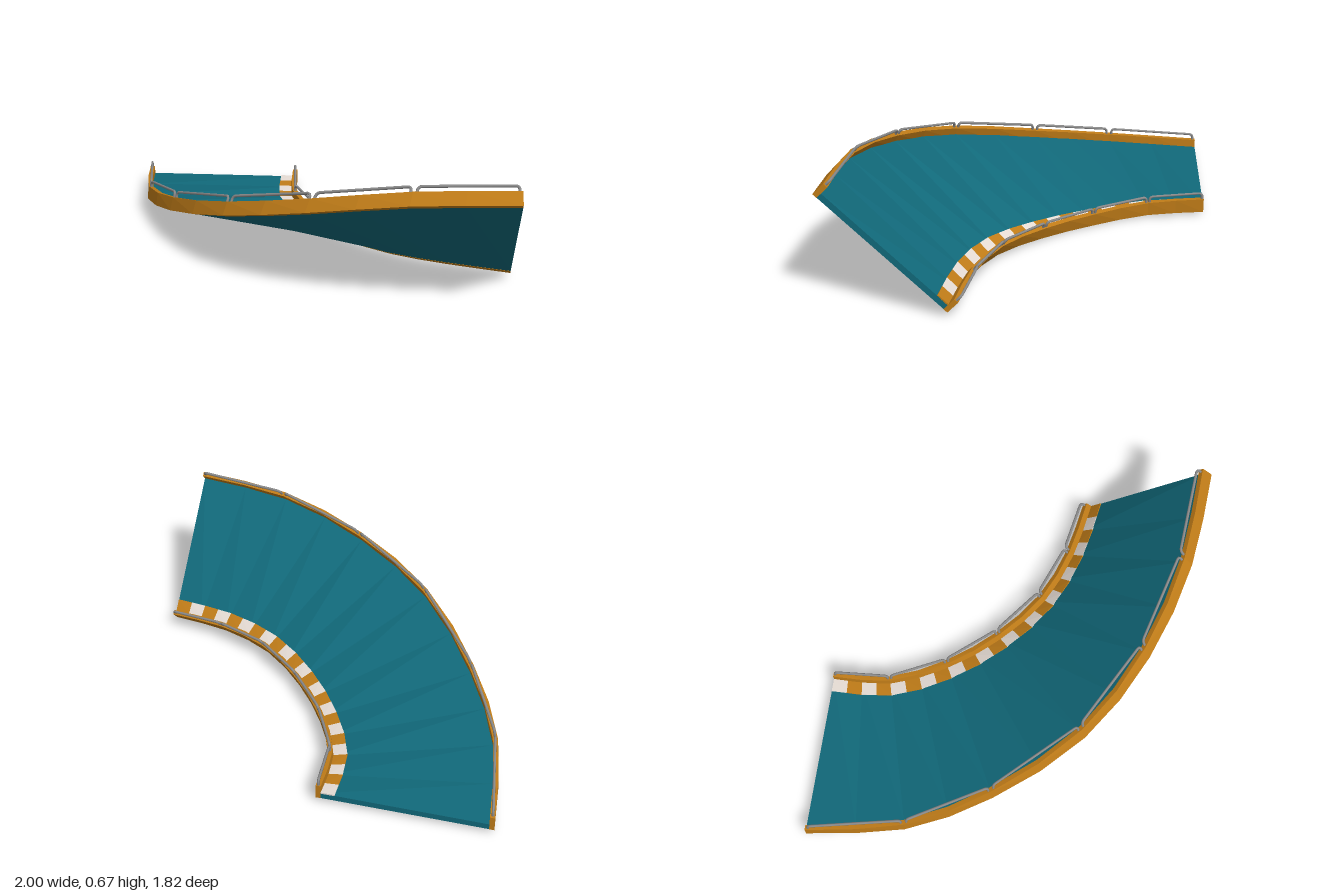
import * as THREE from 'three';

const V = (x, y, z) => new THREE.Vector3(x, y, z);
const SEGMENTS = 12;

// Bottom edges of the banked curve, from the flat end to the steep end
const innerEdge = new THREE.CatmullRomCurve3([
  V(-0.15, 0.03, -0.91), V(-0.135, 0.012, -0.62), V(-0.01, 0.004, -0.335), V(0.175, 0.014, -0.08),
  V(0.41, 0.033, 0.13), V(0.69, 0.04, 0.255), V(1, 0.03, 0.32),
]);
const outerEdge = new THREE.CatmullRomCurve3([
  V(-1, 0.03, -0.91), V(-0.925, 0.09, -0.41), V(-0.73, 0.19, 0.01), V(-0.4, 0.335, 0.43),
  V(0.02, 0.465, 0.7), V(0.5, 0.57, 0.855), V(1, 0.607, 0.905),
]);

// Point on one cross-section: u = 0 inner / 1 outer edge, off = along the bank, up = off the bank
function station(t, u, off, up) {
  const a = innerEdge.getPoint(t), b = outerEdge.getPoint(t);
  const w = b.clone().sub(a).normalize();
  const h = Math.hypot(w.x, w.z);
  const n = V(-w.x * w.y / h, h, -w.z * w.y / h);
  return a.lerp(b, u).addScaledVector(w, off).addScaledVector(n, up);
}

// Straight facets between stations
function point(t, u, off, up) {
  const i = Math.min(Math.floor(t * SEGMENTS + 1e-6), SEGMENTS - 1);
  return station(i / SEGMENTS, u, off, up).lerp(station((i + 1) / SEGMENTS, u, off, up), t * SEGMENTS - i);
}

// Closed four-sided bar swept from t0 to t1; each side is [u, off]
function sweep(inner, outer, low, high, t0 = 0, t1 = 1, steps = SEGMENTS) {
  const rings = [];
  for (let i = 0; i <= steps; i++) {
    const t = t0 + (t1 - t0) * i / steps;
    rings.push([[inner, low], [outer, low], [outer, high], [inner, high]]
      .map(([s, up]) => point(t, s[0], s[1], up)));
  }
  const pos = [];
  const quad = (a, b, c, d) => [a, b, c, a, c, d].forEach(p => pos.push(p.x, p.y, p.z));
  quad(...rings[0]);
  quad(...rings[steps].slice().reverse());
  for (let i = 0; i < steps; i++) {
    for (let k = 0; k < 4; k++) {
      const q = (k + 1) % 4;
      quad(rings[i][q], rings[i][k], rings[i + 1][k], rings[i + 1][q]);
    }
  }
  const g = new THREE.BufferGeometry();
  g.setAttribute('position', new THREE.Float32BufferAttribute(pos, 3));
  g.computeVertexNormals();
  return g;
}

// Handrail hoop: two posts and a straight bar with rounded corners
function hoop(t0, t1, u, off) {
  const p = [point(t0, u, off, 0.06), point(t0, u, off, 0.102), point(t1, u, off, 0.102), point(t1, u, off, 0.06)];
  const toward = (a, b, d) => a.clone().addScaledVector(b.clone().sub(a).normalize(), d);
  const r = 0.02;
  const a0 = toward(p[1], p[0], r), a1 = toward(p[1], p[2], r);
  const b0 = toward(p[2], p[1], r), b1 = toward(p[2], p[3], r);
  const path = new THREE.CurvePath();
  path.add(new THREE.LineCurve3(p[0], a0));
  path.add(new THREE.QuadraticBezierCurve3(a0, p[1], a1));
  path.add(new THREE.LineCurve3(a1, b0));
  path.add(new THREE.QuadraticBezierCurve3(b0, p[2], b1));
  path.add(new THREE.LineCurve3(b1, p[3]));
  return new THREE.TubeGeometry(path, 56, 0.007, 6);
}

export function createModel() {
  const model = new THREE.Group();
  const flat = color => new THREE.MeshStandardMaterial({ color, flatShading: true });
  const teal = flat(0x11697a), orange = flat(0xc07c18), white = flat(0xe6dcd4);
  const metal = new THREE.MeshStandardMaterial({ color: 0x8c8c8c });
  const add = (name, geometry, material, parent = model) => {
    const mesh = new THREE.Mesh(geometry, material);
    mesh.name = name;
    parent.add(mesh);
  };

  // Road slab and side walls
  add('roadDeck', sweep([0, 0.025], [1, -0.025], 0.001, 0.03), teal);
  add('innerWall', sweep([0, 0], [0, 0.025], 0, 0.072), orange);
  add('outerWall', sweep([1, -0.025], [1, 0], 0, 0.072), orange);

  // Striped kerb along the inner wall
  const kerb = new THREE.Group();
  kerb.name = 'kerb';
  model.add(kerb);
  const tiles = SEGMENTS * 2;
  for (let i = 0; i < tiles; i++) {
    add('kerbTile', sweep([0, 0.025], [0, 0.093], 0.028, 0.035, i / tiles, (i + 1) / tiles, 1),
      i % 2 ? orange : white, kerb);
  }

  // Handrails on both walls
  for (const [name, u, off] of [['innerHandrail', 0, 0.012], ['outerHandrail', 1, -0.012]]) {
    const rail = new THREE.Group();
    rail.name = name;
    model.add(rail);
    for (let i = 0; i < 6; i++) {
      add('railHoop', hoop((i + 0.03) / 6, (i + 0.97) / 6, u, off), metal, rail);
    }
  }
  return model;
}
